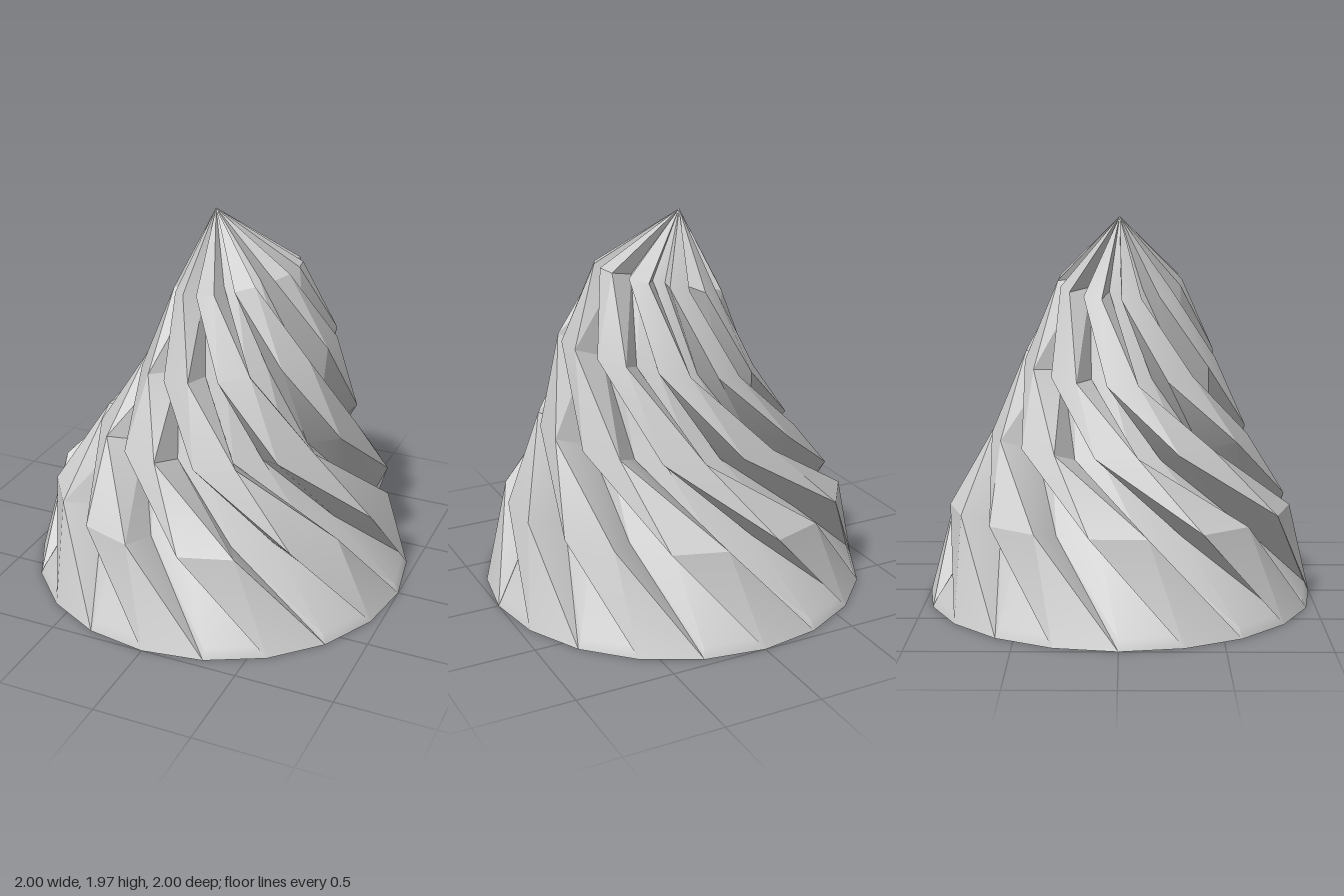
import * as THREE from 'three';
import { toCreasedNormals } from 'three/addons/utils/BufferGeometryUtils.js';

const TEETH = 10;
const STEP = Math.PI / TEETH; // angular width of one ridge or one groove

// Rings from the ground up: height, centre x, ridge radius, groove radius,
// how far the groove floor dips below the ridge, twist (degrees), tilt along x
const RINGS = [
  { y: 0, cx: 0, outer: 1, inner: 1, dip: 0, twist: 0, tilt: 0 },
  { y: 0, cx: 0, outer: 1, inner: 0.975, dip: -0.05, twist: 0, tilt: 0 }, // low kerb in the grooves
  { y: 0.5, cx: 0, outer: 0.885, inner: 0.67, dip: 0.055, twist: 27, tilt: 0 },
  { y: 0.865, cx: 0.035, outer: 0.668, inner: 0.47, dip: 0.065, twist: 64, tilt: 0.05 },
  { y: 1.25, cx: 0.09, outer: 0.5, inner: 0.335, dip: 0.03, twist: 97, tilt: 0.2 },
  { y: 1.64, cx: 0.08, outer: 0.322, inner: 0.19, dip: 0, twist: 124, tilt: 0.25 },
];
const APEX = new THREE.Vector3(-0.04, 1.97, 0);

// Gear-shaped cross-section: ridge, wall, groove, wall
function ringPoints({ y, cx, outer, inner, dip, twist, tilt }) {
  const points = [];
  for (let k = 0; k < TEETH; k++) {
    const start = THREE.MathUtils.degToRad(72 + twist) + k * 2 * STEP;
    for (const [offset, r, drop] of [[0, outer, 0], [1, outer, 0], [1, inner, dip], [2, inner, dip]]) {
      const a = start + offset * STEP;
      const dx = r * Math.cos(a);
      points.push(new THREE.Vector3(cx + dx, y + tilt * dx - drop, r * Math.sin(a)));
    }
  }
  return points;
}

function trianglesToGeometry(triangles) {
  const positions = [];
  for (const [a, b, c] of triangles) {
    const area = b.clone().sub(a).cross(c.clone().sub(a)).length();
    if (area > 1e-6) for (const p of [a, b, c]) positions.push(p.x, p.y, p.z);
  }
  const geometry = new THREE.BufferGeometry();
  geometry.setAttribute('position', new THREE.Float32BufferAttribute(positions, 3));
  return toCreasedNormals(geometry, 0.45);
}

export function createModel() {
  const group = new THREE.Group();
  group.name = 'twistedPeak';
  const material = new THREE.MeshStandardMaterial({ color: 0xcccccc });
  const rings = RINGS.map(ringPoints);
  const n = TEETH * 4;

  // Twisted sides, closed with a fan at the tip
  const sides = [];
  for (let i = 0; i < n; i++) {
    const j = (i + 1) % n;
    for (let r = 0; r < rings.length - 1; r++) {
      const low = rings[r], high = rings[r + 1];
      sides.push([low[i], high[i], low[j]], [high[i], high[j], low[j]]);
    }
    const top = rings[rings.length - 1];
    sides.push([top[i], APEX, top[j]]);
  }
  const body = new THREE.Mesh(trianglesToGeometry(sides), material);
  body.name = 'twistedBody';
  group.add(body);

  // Flat twenty-sided underside
  const centre = new THREE.Vector3();
  const floor = rings[0].map((p, i) => [centre, p, rings[0][(i + 1) % n]]);
  const base = new THREE.Mesh(trianglesToGeometry(floor), material);
  base.name = 'base';
  group.add(base);

  return group;
}
